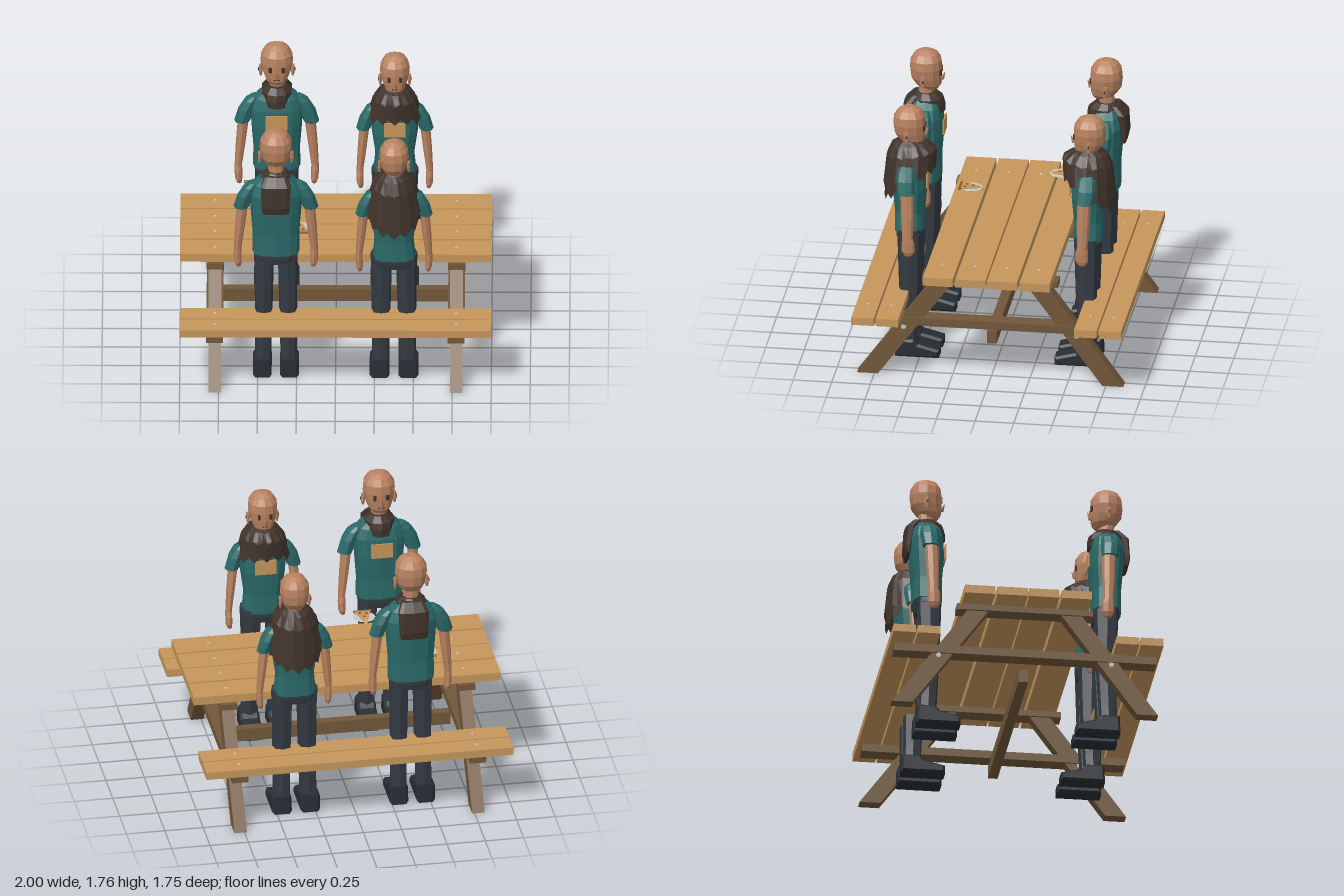
import * as THREE from 'three';

const mat = (name, color, side = THREE.FrontSide) =>
  Object.assign(new THREE.MeshStandardMaterial({ color, flatShading: true, side }), { name });

const M = {
  plank: mat('plank wood', 0xc6965b),
  frame: mat('frame wood', 0x72573a),
  skin: mat('skin', 0xb98260),
  shirt: mat('teal shirt', 0x2a6a69),
  scarf: mat('dark brown cloth', 0x40332b, THREE.DoubleSide),
  trousers: mat('charcoal trousers', 0x343a42),
  shoe: mat('dark shoe', 0x282d34),
  metal: mat('pale metal', 0xc9c7c0),
  crust: mat('crust', 0x8a5a35),
};

function add(parent, name, geometry, material, x = 0, y = 0, z = 0) {
  const mesh = new THREE.Mesh(geometry, material);
  mesh.name = name;
  mesh.position.set(x, y, z);
  parent.add(mesh);
  return mesh;
}

// Box given by its limits on each axis
function block(parent, name, material, [x0, x1], [y0, y1], [z0, z1]) {
  return add(parent, name, new THREE.BoxGeometry(x1 - x0, y1 - y0, z1 - z0), material,
    (x0 + x1) / 2, (y0 + y1) / 2, (z0 + z1) / 2);
}

// Closed body through rings [y, rx, rz, cx, cz], listed upwards; power < 1 is boxier
function loft(rings, n = 10, power = 1) {
  const pos = [], idx = [];
  const pw = v => Math.sign(v) * Math.abs(v) ** power;
  for (const [y, rx, rz, cx = 0, cz = 0] of rings)
    for (let j = 0; j < n; j++) {
      const a = (j / n) * Math.PI * 2;
      pos.push(cx + rx * pw(Math.sin(a)), y, cz + rz * pw(Math.cos(a)));
    }
  const last = rings.length - 1, base = rings.length * n;
  for (const [y, , , cx = 0, cz = 0] of [rings[0], rings[last]]) pos.push(cx, y, cz);
  for (let j = 0; j < n; j++) {
    const k = (j + 1) % n;
    for (let i = 0; i < last; i++) {
      const a = i * n + j, b = i * n + k;
      idx.push(a, b, b + n, a, b + n, a + n);
    }
    idx.push(base, k, j, base + 1, last * n + j, last * n + k);
  }
  const g = new THREE.BufferGeometry();
  g.setAttribute('position', new THREE.Float32BufferAttribute(pos, 3));
  g.setIndex(idx);
  g.computeVertexNormals();
  return g;
}

// Side profile in [z, y], extruded along x and centred on x = 0
function profile(points, width, bevel = 0) {
  const shape = new THREE.Shape(points.map(([z, y]) => new THREE.Vector2(-z, y)));
  const depth = width - 2 * bevel;
  return new THREE.ExtrudeGeometry(shape, {
    depth, bevelEnabled: bevel > 0, bevelSize: bevel, bevelThickness: bevel, bevelSegments: 1,
  }).translate(0, 0, -depth / 2).rotateY(Math.PI / 2);
}

function makeTable() {
  const table = new THREE.Group();
  table.name = 'picnicTable';
  const span = [-1, 1];
  for (const s of [-1, 1]) {
    const zs = (a, b) => (s > 0 ? [a, b] : [-b, -a]);
    for (const [a, b] of [[0.005, 0.2], [0.216, 0.411]])
      block(table, 'topPlank', M.plank, span, [0.71, 0.765], zs(a, b));
    for (const [a, b] of [[0.57, 0.717], [0.728, 0.874]])
      block(table, 'benchPlank', M.plank, span, [0.408, 0.46], zs(a, b));
    // Frame at each end
    const x = s * 0.775;
    block(table, 'topCleat', M.frame, [x - 0.055, x + 0.055], [0.67, 0.71], [-0.44, 0.44]);
    block(table, 'benchBearer', M.frame, [x - 0.054, x + 0.054], [0.355, 0.407], [-0.85, 0.85]);
    for (const t of [-1, 1]) {
      const pts = [[0.863, 0], [0.727, 0], [0.237, 0.67], [0.373, 0.67]].map(([z, y]) => [t * z, y]);
      add(table, 'slantedLeg', profile(pts, 0.082), M.frame, x);
      const bolt = add(table, 'bolt', new THREE.CylinderGeometry(0.017, 0.017, 0.1, 8), M.metal, x, 0.34, t * 0.56);
      bolt.rotation.z = Math.PI / 2;
      for (const [z, y] of [[0.103, 0.766], [0.315, 0.766], [0.645, 0.461], [0.795, 0.461]])
        add(table, 'screw', new THREE.CylinderGeometry(0.008, 0.01, 0.01, 8), M.metal, x, y, t * z);
    }
  }
  block(table, 'stretcher', M.frame, [-0.74, 0.74], [0.22, 0.305], [-0.031, 0.031]);
  return table;
}

// Plate with a slice whose tip droops over the rim, pointing to +z
function makePlate() {
  const g = new THREE.Group();
  g.name = 'plateWithSlice';
  add(g, 'plate', new THREE.CylinderGeometry(0.073, 0.05, 0.01, 20), M.metal, 0, 0.881, 0);
  const slice = new THREE.BoxGeometry(1, 0.008, 0.165, 1, 1, 4);
  const p = slice.attributes.position;
  for (let i = 0; i < p.count; i++) {
    const z = p.getZ(i) + 0.0125;
    p.setX(i, p.getX(i) * (0.004 + 0.1 * (0.095 - z) / 0.165));
    p.setY(i, p.getY(i) - Math.max(0, z - 0.045) * 0.55);
    p.setZ(i, z);
  }
  add(g, 'slice', slice, M.plank, 0, 0.891, 0);
  const crust = add(g, 'crust', new THREE.CylinderGeometry(0.009, 0.009, 0.115, 6), M.crust, 0, 0.891, -0.07);
  crust.rotation.z = Math.PI / 2;
  for (const [x, z] of [[-0.022, -0.04], [0.02, -0.03], [0, 0.01]])
    add(g, 'topping', new THREE.CylinderGeometry(0.01, 0.01, 0.004, 8), M.crust, x, 0.896, z);
  return g;
}

// Draped cape layer with a ragged hem, longer at the back
function capeLayer(front, back, grow, n = 28) {
  const rows = [[0, 0.07, 0.075, 0.07], [0.1, 0.1, 0.12, 0.115], [0.35, 0.14, 0.175, 0.145], [1, 0.175, 0.165, 0.16]];
  const pos = [], idx = [];
  rows.forEach(([t, rx, rf, rb], i) => {
    for (let j = 0; j <= n; j++) {
      const a = (j / n) * Math.PI * 2, c = Math.cos(a);
      const hem = THREE.MathUtils.lerp(back, front, (1 + c) / 2) + (j % 2 ? 0.02 : -0.02);
      const k = 1 + grow * t;
      pos.push(k * rx * Math.sin(a), 1.465 + (hem - 1.465) * t, k * c * (c > 0 ? rf : rb));
      if (i && j) {
        const d = i * (n + 1) + j, u = d - n - 1;
        idx.push(u - 1, d - 1, d, u - 1, d, u);
      }
    }
  });
  const g = new THREE.BufferGeometry();
  g.setAttribute('position', new THREE.Float32BufferAttribute(pos, 3));
  g.setIndex(idx);
  g.computeVertexNormals();
  return g;
}

// Standing figure facing +z, either tall with a hood or short with a cape
function makePerson(caped) {
  const person = new THREE.Group(), upper = new THREE.Group(), lower = new THREE.Group();
  person.name = caped ? 'capedPerson' : 'hoodedPerson';
  upper.name = 'upperBody';
  lower.name = 'lowerBody';
  person.add(upper, lower);
  if (caped) {
    upper.scale.set(0.91, 0.957, 1);
    lower.scale.set(1.06, 0.957, 1);
  }
  const shoe = [[-0.06, 0.015], [0.195, 0.015], [0.195, 0.045], [0.14, 0.06], [0.065, 0.08], [0.04, 0.11], [-0.055, 0.11]];

  // Trousers and shoes
  add(lower, 'hips', loft([[0.82, 0.12, 0.08, 0, 0.01], [0.86, 0.142, 0.088, 0, 0.01], [0.91, 0.142, 0.09, 0, 0.008]], 12, 0.7), M.trousers);
  for (const s of [-1, 1]) {
    add(lower, 'leg', loft([[0.08, 0.054, 0.058, s * 0.083, 0], [0.2, 0.053, 0.06, s * 0.081, 0.003],
      [0.48, 0.057, 0.068, s * 0.078, 0.012], [0.88, 0.064, 0.08, s * 0.076, 0.012]], 8, 0.7), M.trousers);
    add(lower, 'shoe', profile(shoe, 0.12, 0.015), M.shoe, s * 0.087);
  }

  // Shirt
  const waist = caped ? 0.138 : 0.15;
  add(upper, 'shirt', loft([[0.89, 0.152, 0.098, 0, 0.005], [1.03, waist, 0.097, 0, 0.005], [1.2, 0.163, 0.112, 0, 0.005],
    [1.32, 0.168, 0.112], [1.39, 0.14, 0.098], [1.45, 0.075, 0.07]], 12, 0.72), M.shirt);
  for (const s of [-1, 1]) {
    add(upper, 'sleeve', loft([[1.21, 0.051, 0.056, s * 0.222, 0.005], [1.3, 0.052, 0.062, s * 0.195],
      [1.36, 0.045, 0.056, s * 0.165], [1.39, 0.028, 0.04, s * 0.14]], 8), M.shirt);
    add(upper, 'arm', loft([[0.77, 0.016, 0.025, s * 0.24, 0.022], [0.8, 0.024, 0.042, s * 0.244, 0.022],
      [0.86, 0.025, 0.042, s * 0.246, 0.022], [0.9, 0.024, 0.034, s * 0.246, 0.018],
      [1.05, 0.031, 0.042, s * 0.232, 0.015], [1.25, 0.036, 0.045, s * 0.212, 0.01]], 8), M.skin);
  }

  // Head
  add(upper, 'neck', new THREE.CylinderGeometry(0.048, 0.052, 0.16, 8), M.skin, 0, 1.48, 0);
  add(upper, 'head', loft([[1.503, 0.045, 0.045, 0, 0.035], [1.53, 0.072, 0.08, 0, 0.018], [1.58, 0.092, 0.1, 0, 0.003],
    [1.645, 0.105, 0.105], [1.7, 0.1, 0.1], [1.742, 0.074, 0.076], [1.765, 0.034, 0.036]], 12, 0.88), M.skin);
  const nose = add(upper, 'nose', new THREE.ConeGeometry(0.017, 0.055, 4), M.skin, 0, 1.592, 0.113);
  nose.rotation.x = 0.45;
  block(upper, 'mouth', M.scarf, [-0.02, 0.02], [1.546, 1.552], [0.09, 0.099]);
  for (const s of [-1, 1]) {
    add(upper, 'ear', loft([[1.535, 0.008, 0.012], [1.57, 0.014, 0.02], [1.61, 0.012, 0.018]], 6), M.skin, s * 0.103, 0, -0.005);
    block(upper, 'earHollow', M.scarf, [s * 0.116 - 0.003, s * 0.116 + 0.003], [1.57, 1.588], [-0.01, 0.002]);
    const eye = add(upper, 'eye', new THREE.BoxGeometry(0.02, 0.036, 0.008), M.scarf, s * 0.042, 1.622, 0.1);
    eye.rotation.y = s * 0.2;
  }

  // Chest badge and neckwear
  const by = caped ? 1.2 : 1.25;
  block(person, 'badge', M.plank, [-0.07, 0.07], [by - 0.05, by + 0.05], [0.117, 0.126]);
  if (caped) {
    add(person, 'capeUnderLayer', capeLayer(1.3, 1.07, 0), M.scarf);
    add(person, 'capeOverLayer', capeLayer(1.28, 1.16, 0.04), M.scarf);
  } else {
    add(person, 'scarf', loft([[1.35, 0.06, 0.04, 0, 0.085], [1.4, 0.1, 0.11, 0, 0.015], [1.44, 0.1, 0.105, 0, 0.01],
      [1.475, 0.064, 0.07, 0, 0.005]], 10), M.scarf);
    add(person, 'hood', loft([[1.22, 0.088, 0.014, 0, -0.122], [1.27, 0.095, 0.024, 0, -0.124],
      [1.41, 0.099, 0.035, 0, -0.105], [1.465, 0.072, 0.03, 0, -0.06]], 10, 0.6), M.scarf);
  }
  return person;
}

export function createModel() {
  const model = new THREE.Group();
  model.name = 'picnicScene';
  model.add(makeTable());
  for (const s of [-1, 1]) {
    for (const caped of [false, true]) {
      const person = makePerson(caped);
      person.position.set(caped ? 0.375 : -0.383, 0, s * 0.585);
      person.rotation.y = s > 0 ? Math.PI : 0;
      model.add(person);
    }
    const plate = makePlate();
    plate.position.set(s > 0 ? -0.232 : -0.535, 0, s * 0.27);
    plate.rotation.y = s > 0 ? Math.PI : 0;
    model.add(plate);
  }
  return model;
}
